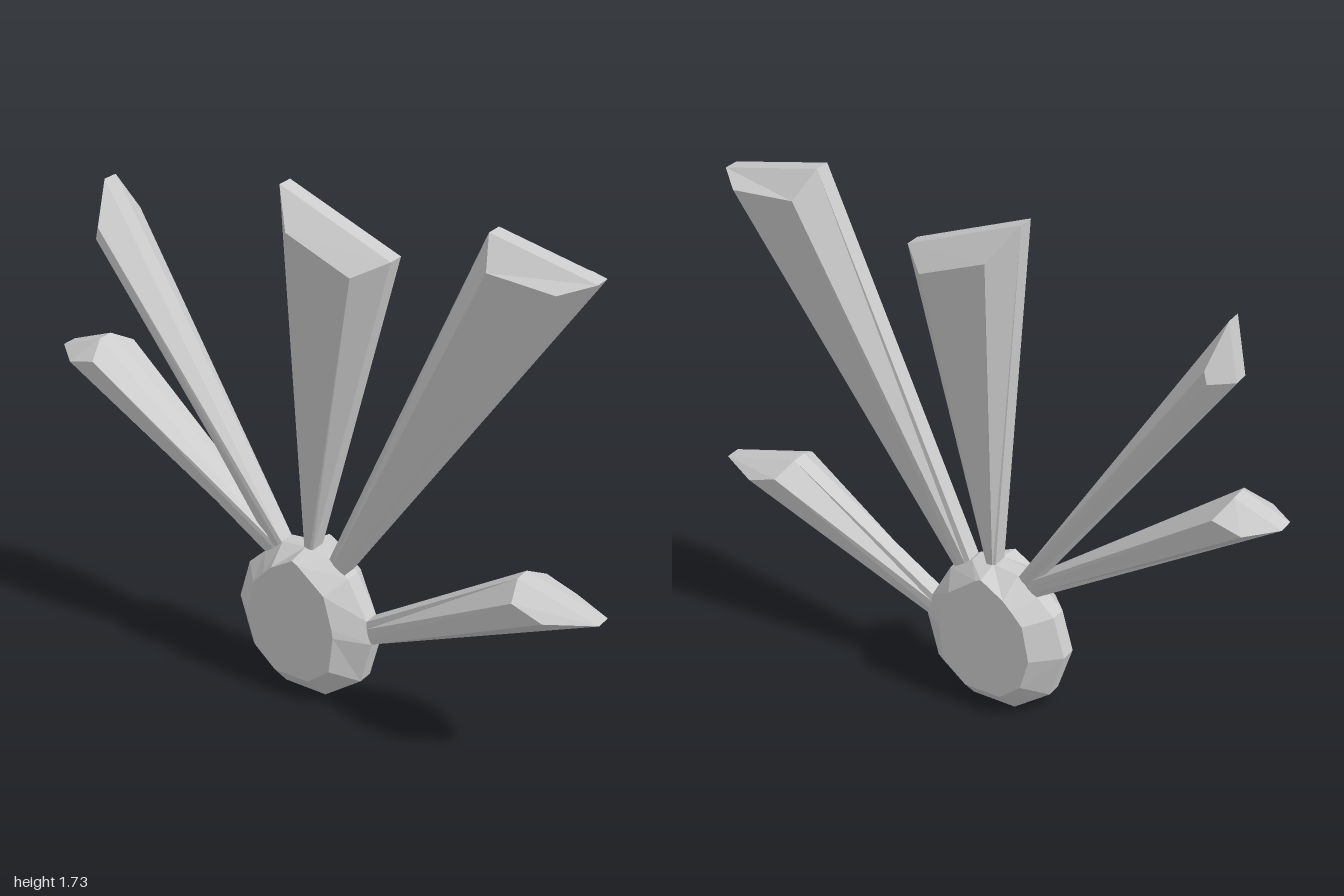
import * as THREE from 'three';

const RIM = 0.027, DEPTH = 0.105;

// Bevelled slab, mirrored in z: a flat rim band, a bevel, and an inset face.
// rim: [x, y] counter-clockwise; face: [x, y, z] matching the rim points.
function bevelledSlab(name, rim, face, material) {
  const pos = [];
  const n = rim.length;
  const tri = (a, b, c) => pos.push(...a, ...b, ...c);
  const flip = ([x, y, z]) => [x, y, -z];
  const both = (a, b, c) => {
    tri(a, b, c);
    tri(flip(a), flip(c), flip(b));
  };
  const edge = rim.map(([x, y]) => [x, y, RIM]);
  for (let i = 0; i < n; i++) {
    const j = (i + 1) % n;
    // bevel
    both(edge[i], edge[j], face[j]);
    both(edge[i], face[j], face[i]);
    // rim band
    tri(flip(edge[i]), flip(edge[j]), edge[j]);
    tri(flip(edge[i]), edge[j], edge[i]);
    // inset face
    if (i > 0 && i < n - 1) both(face[0], face[i], face[j]);
  }
  const geometry = new THREE.BufferGeometry();
  geometry.setAttribute('position', new THREE.Float32BufferAttribute(pos, 3));
  geometry.computeVertexNormals();
  const mesh = new THREE.Mesh(geometry, material);
  mesh.name = name;
  return mesh;
}

// Tapered blade; rim runs base right, tip right, tip left, base left (looking outward)
function blade(name, rim, tipRight, tipLeft, material) {
  const [a, , , d] = rim;
  const between = (t) => [a[0] + (d[0] - a[0]) * t, a[1] + (d[1] - a[1]) * t, 0.03];
  const face = [between(0.3), [...tipRight, DEPTH], [...tipLeft, DEPTH], between(0.7)];
  return bevelledSlab(name, rim, face, material);
}

export function createModel() {
  const group = new THREE.Group();
  group.name = 'bladeFan';
  const material = new THREE.MeshStandardMaterial({ color: 0xcccccc, flatShading: true });

  // Faceted hub: [rim x, rim y, face x, face y]
  const hub = [
    [-0.12, 0, -0.11, 0.085], [0.035, 0, 0.02, 0.085],
    [0.17, 0.1, 0.1, 0.15], [0.21, 0.25, 0.115, 0.28],
    [0.19, 0.33, 0.11, 0.31], [0.12, 0.46, 0.08, 0.42],
    [0.04, 0.515, -0.02, 0.5], [-0.04, 0.525, -0.04, 0.51],
    [-0.13, 0.515, -0.12, 0.46], [-0.2, 0.455, -0.15, 0.43],
    [-0.26, 0.4, -0.19, 0.385], [-0.3, 0.26, -0.215, 0.26],
    [-0.25, 0.1, -0.185, 0.15],
  ];
  group.add(bevelledSlab('hub', hub.map((p) => [p[0], p[1]]),
    hub.map((p) => [p[2], p[3], DEPTH]), material));

  // Blades: name, rim outline, raised tip corners
  const blades = [
    ['lowerLeftBlade', [[0.205, 0.25], [0.995, 0.595], [0.72, 0.665], [0.185, 0.325]],
      [0.85, 0.59], [0.745, 0.625]],
    ['upperLeftBlade', [[0.1, 0.46], [0.925, 1.65], [0.58, 1.725], [0.045, 0.5]],
      [0.84, 1.625], [0.62, 1.64]],
    ['centreBlade', [[-0.018, 0.5], [0.26, 1.56], [-0.13, 1.715], [-0.045, 0.5]],
      [0.17, 1.515], [-0.055, 1.605]],
    ['upperRightBlade', [[-0.125, 0.5], [-0.795, 1.59], [-0.83, 1.405], [-0.18, 0.485]],
      [-0.765, 1.46], [-0.775, 1.42]],
    ['lowerRightBlade', [[-0.14, 0.485], [-0.845, 1.035], [-1, 0.975], [-0.195, 0.455]],
      [-0.815, 0.99], [-0.91, 0.965]],
  ];
  for (const [name, rim, tipRight, tipLeft] of blades) {
    group.add(blade(name, rim, tipRight, tipLeft, material));
  }
  return group;
}
